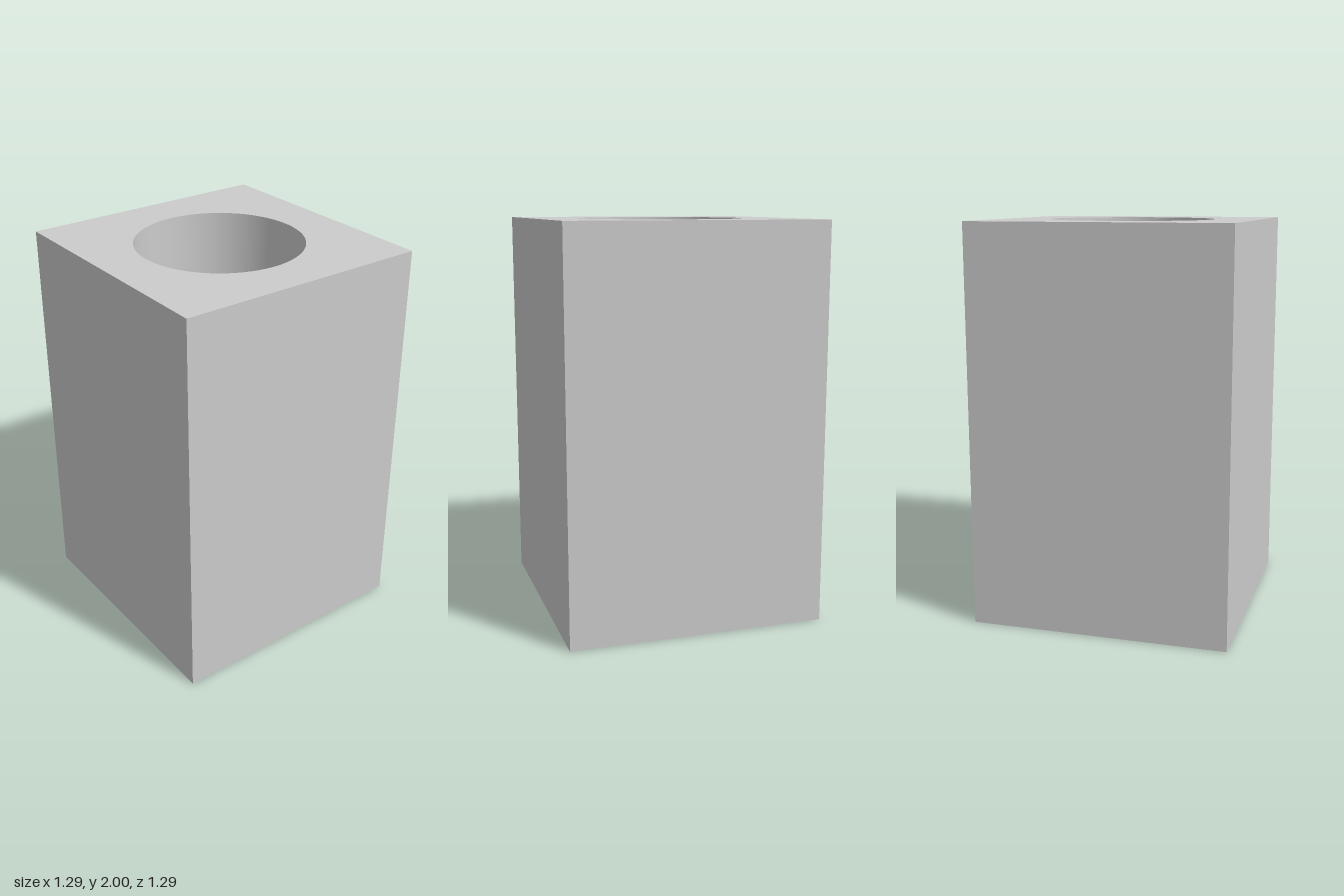
import * as THREE from 'three';
import { toCreasedNormals } from 'three/addons/utils/BufferGeometryUtils.js';

const HALF = 0.647, HEIGHT = 2, BORE = 0.416;

export function createModel() {
  const group = new THREE.Group();
  group.name = 'boredBlock';

  // Square footprint with a round through-hole
  const footprint = new THREE.Shape([
    new THREE.Vector2(-HALF, -HALF),
    new THREE.Vector2(HALF, -HALF),
    new THREE.Vector2(HALF, HALF),
    new THREE.Vector2(-HALF, HALF),
  ]);
  footprint.holes.push(new THREE.Path().absarc(0, 0, BORE, 0, Math.PI * 2, true));

  // Raise the footprint; smooth bore, sharp block edges
  const extruded = new THREE.ExtrudeGeometry(footprint, {
    depth: HEIGHT, bevelEnabled: false, curveSegments: 48,
  });
  extruded.rotateX(-Math.PI / 2);

  const block = new THREE.Mesh(
    toCreasedNormals(extruded, Math.PI / 6),
    new THREE.MeshStandardMaterial({ color: 0xcccccc }),
  );
  block.name = 'block';
  group.add(block);
  return group;
}
